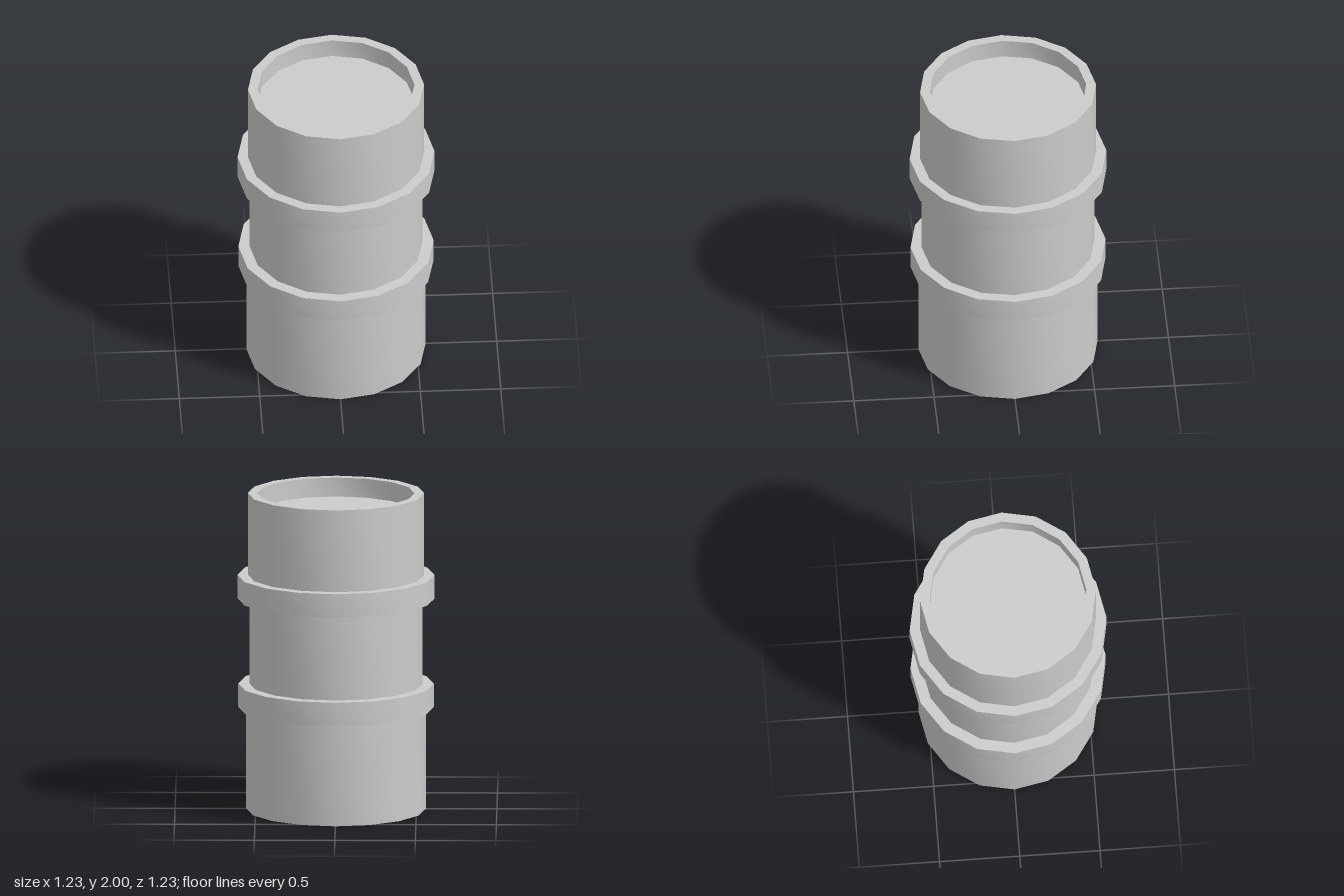
import * as THREE from 'three';
import { toCreasedNormals } from 'three/addons/utils/BufferGeometryUtils.js';

const SIDES = 16;

export function createModel() {
  const group = new THREE.Group();
  const material = new THREE.MeshStandardMaterial({ color: 0xcccccc });

  // Turns a [radius, height] profile, smooth around and sharp at the rims
  function turned(name, profile) {
    const points = profile.map(([r, y]) => new THREE.Vector2(r, y));
    const geometry = toCreasedNormals(new THREE.LatheGeometry(points, SIDES), 0.6);
    const mesh = new THREE.Mesh(geometry, material);
    mesh.name = name;
    group.add(mesh);
  }

  // Barrel body: closed base, narrower waist, rim and sunken lid
  turned('barrelBody', [
    [0, 0], [0.558, 0], [0.558, 0.72],
    [0.538, 0.72], [0.538, 1.4],
    [0.548, 1.4], [0.548, 2],
    [0.488, 2], [0.488, 1.88], [0, 1.88],
  ]);

  // Raised hoops, each a closed ring
  const hoops = [
    ['lowerHoop', 0.608, 0.645, 0.793],
    ['upperHoop', 0.613, 1.333, 1.482],
  ];
  for (const [name, r, y0, y1] of hoops) {
    turned(name, [[0.5, y0], [r, y0], [r, y1], [0.5, y1], [0.5, y0]]);
  }

  return group;
}
